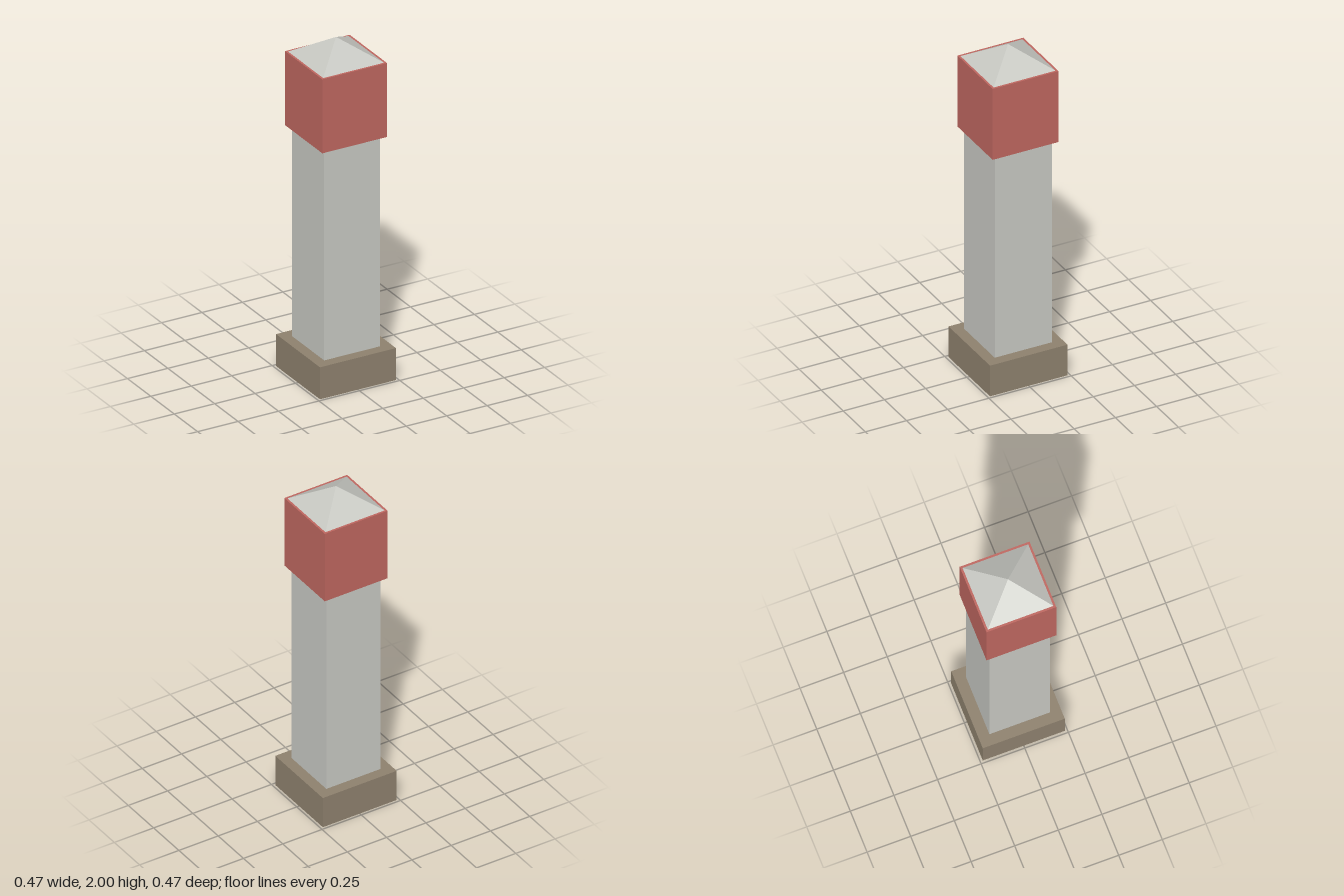
import * as THREE from 'three';

const material = (name, color) => {
  const m = new THREE.MeshStandardMaterial({ color });
  m.name = name;
  return m;
};

export function createModel() {
  const post = new THREE.Group();
  post.name = 'markerPost';

  const stone = material('pale stone', 0xc6c7c1);
  const red = material('faded red', 0xbd665f);
  const earth = material('brown earth', 0x8d806d);

  // Square block standing between two heights
  const block = (name, width, bottom, top, mat) => {
    const mesh = new THREE.Mesh(new THREE.BoxGeometry(width, top - bottom, width), mat);
    mesh.name = name;
    mesh.position.y = (bottom + top) / 2;
    post.add(mesh);
  };

  block('base', 0.47, 0, 0.19, earth);
  block('shaft', 0.346, 0.19, 1.44, stone);
  block('redBand', 0.4, 1.44, 1.88, red);

  // Four-sided pointed cap, turned so its sides line up with the post
  const capGeometry = new THREE.ConeGeometry(0.188 * Math.SQRT2, 0.12, 4, 1, true)
    .rotateY(Math.PI / 4)
    .toNonIndexed();
  capGeometry.computeVertexNormals();
  const cap = new THREE.Mesh(capGeometry, stone);
  cap.name = 'pyramidCap';
  cap.position.y = 1.94;
  post.add(cap);

  return post;
}
